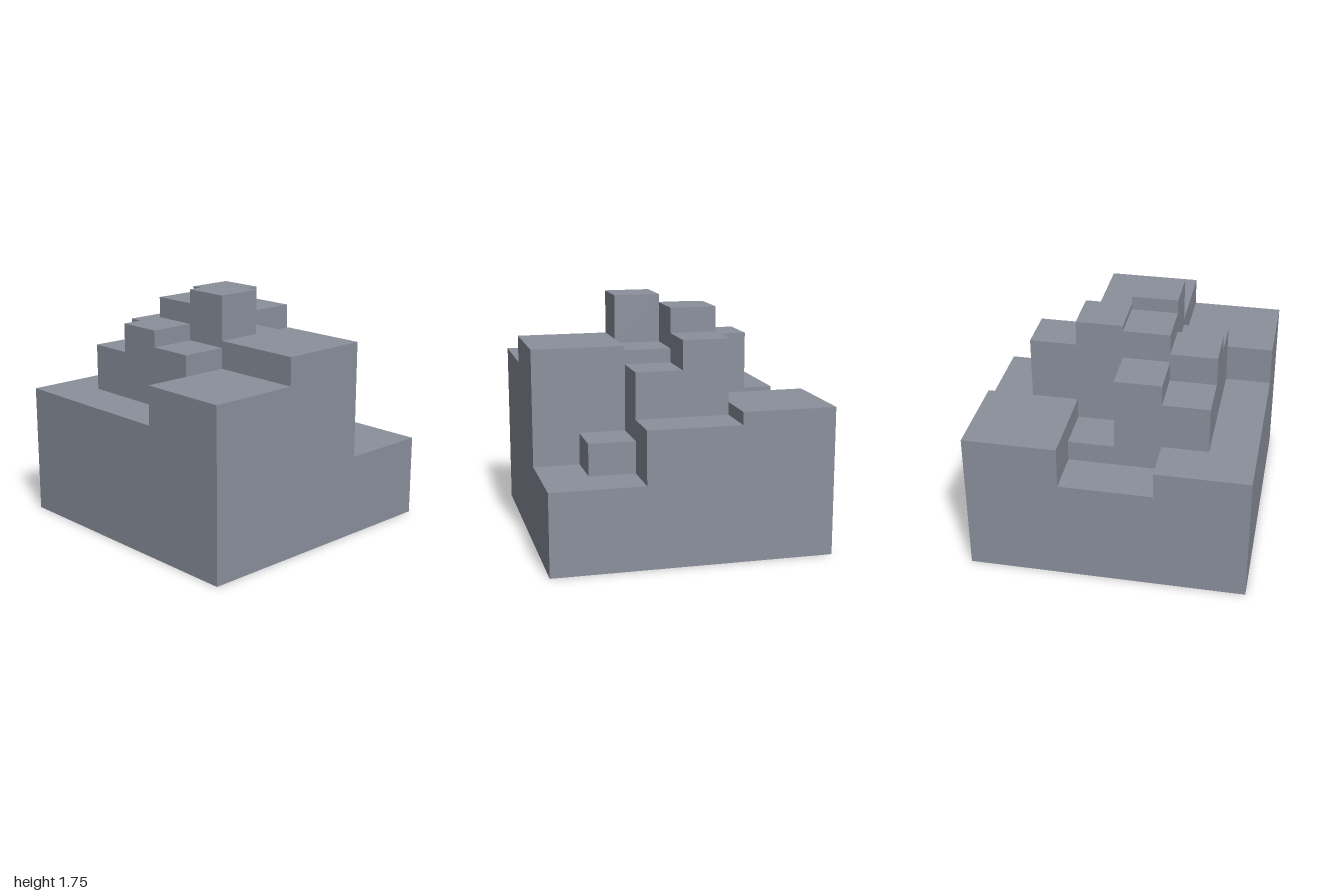
import * as THREE from 'three';

// Column heights on a 6 x 6 grid: rows run back to front, columns run -x to +x
const HEIGHTS = [
  [0.95, 0.95, 0.76, 0.76, 1.06, 1.06],
  [0.95, 1.29, 1.44, 0.91, 1.06, 1.06],
  [0.95, 1.50, 1.65, 1.69, 1.51, 0.97],
  [0.95, 1.38, 1.75, 1.40, 1.30, 0.97],
  [1.23, 1.23, 1.43, 1.43, 0.82, 0.59],
  [1.23, 1.23, 1.43, 1.43, 0.59, 0.59],
];
const N = 6;
const edge = (i) => -1 + (2 * i) / N;
const heightAt = (r, c) => HEIGHTS[r]?.[c] ?? 0;

// Collects flat quads, corners given anticlockwise as seen from outside
class QuadShell {
  positions = [];
  quad(a, b, c, d) {
    this.positions.push(...a, ...b, ...c, ...a, ...c, ...d);
  }
  mesh(name, material) {
    const geometry = new THREE.BufferGeometry();
    geometry.setAttribute('position', new THREE.Float32BufferAttribute(this.positions, 3));
    geometry.computeVertexNormals();
    const mesh = new THREE.Mesh(geometry, material);
    mesh.name = name;
    return mesh;
  }
}

// One square column: its top and the walls that rise above its neighbours
function addColumn(shell, r, c) {
  const h = heightAt(r, c);
  const [x0, x1, z0, z1] = [edge(c), edge(c + 1), edge(r), edge(r + 1)];
  shell.quad([x0, h, z1], [x1, h, z1], [x1, h, z0], [x0, h, z0]);
  const wall = (low, ax, az, bx, bz) => {
    if (low < h) shell.quad([ax, low, az], [bx, low, bz], [bx, h, bz], [ax, h, az]);
  };
  wall(heightAt(r + 1, c), x0, z1, x1, z1); // front
  wall(heightAt(r, c + 1), x1, z1, x1, z0); // +x side
  wall(heightAt(r - 1, c), x1, z0, x0, z0); // back
  wall(heightAt(r, c - 1), x0, z0, x0, z1); // -x side
}

export function createModel() {
  const group = new THREE.Group();
  group.name = 'steppedBlockHill';
  const stone = new THREE.MeshStandardMaterial({ color: 0x8b909c });
  stone.name = 'slateGrey';

  // Outer terraces ring the taller summit columns
  const terraces = new QuadShell();
  const summit = new QuadShell();
  for (let r = 0; r < N; r++) {
    for (let c = 0; c < N; c++) {
      const inner = r > 0 && r < 4 && c > 0 && c < 5 && !(r === 1 && c === 4);
      addColumn(inner ? summit : terraces, r, c);
    }
  }

  // Flat underside
  const underside = new QuadShell();
  underside.quad([-1, 0, -1], [1, 0, -1], [1, 0, 1], [-1, 0, 1]);

  group.add(
    terraces.mesh('outerTerraces', stone),
    summit.mesh('summitColumns', stone),
    underside.mesh('underside', stone),
  );
  return group;
}
